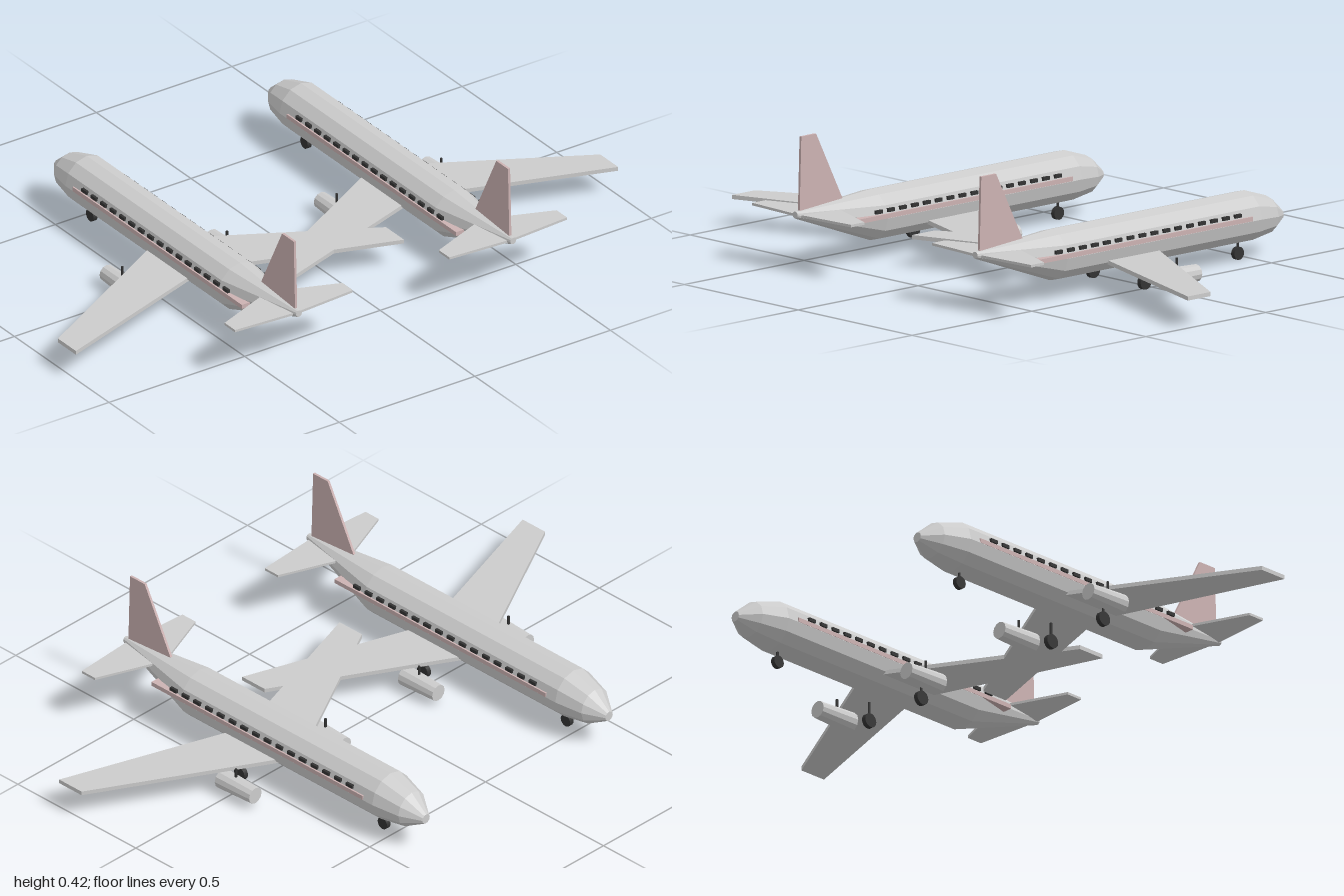
import * as THREE from 'three';

export function createModel() {
  const paint = (name, color) => {
    const m = new THREE.MeshStandardMaterial({ color });
    m.name = name;
    return m;
  };
  const grey = paint('light grey', 0xcccccc);
  const pink = paint('dusty pink', 0xccb2b2);
  const black = paint('black', 0x333333);

  const add = (parent, name, geometry, material, x = 0, y = 0, z = 0) => {
    const mesh = new THREE.Mesh(geometry, material);
    mesh.name = name;
    mesh.position.set(x, y, z);
    parent.add(mesh);
    return mesh;
  };
  const facet = (geometry) => {
    const g = geometry.toNonIndexed();
    g.computeVertexNormals();
    return g;
  };
  const plate = (points, depth) => new THREE.ExtrudeGeometry(
    new THREE.Shape(points.map(([a, b]) => new THREE.Vector2(a, b))), { depth, bevelEnabled: false });
  // Flat surface mirrored about the centreline; half outline runs from nose side to tail side
  const span = (half, depth) => {
    const mirrored = half.filter(([x]) => x > 0).reverse().map(([x, z]) => [-x, z]);
    return plate([...half, ...mirrored], depth).rotateX(Math.PI / 2);
  };

  // Fuselage stations: z, radius, centre height
  const stations = [
    [-0.636, 0, 0.115], [-0.636, 0.016, 0.115], [-0.575, 0.058, 0.124], [-0.485, 0.079, 0.132],
    [0.325, 0.079, 0.132], [0.637, 0.011, 0.177], [0.637, 0, 0.177],
  ];
  const centreAt = (z) => {
    for (let i = 1; i < stations.length; i++) {
      const [z0, , y0] = stations[i - 1], [z1, , y1] = stations[i];
      if (z <= z1 + 1e-5 && z1 > z0) return y0 + (y1 - y0) * (z - z0) / (z1 - z0);
    }
    return 0.177;
  };
  const body = new THREE.LatheGeometry(stations.map(([z, r]) => new THREE.Vector2(r, z)), 12);
  body.rotateX(Math.PI / 2);
  const pos = body.attributes.position;
  for (let i = 0; i < pos.count; i++) pos.setY(i, pos.getY(i) + centreAt(pos.getZ(i)));
  const bodyGeometry = facet(body);

  const wing = span([[0, -0.104], [0.605, 0.23], [0.605, 0.325], [0, 0.123]], 0.013);
  const tailplane = span([[0, 0.47], [0.217, 0.555], [0.217, 0.61], [0, 0.625]], 0.008);
  const fin = plate([[0.44, 0.195], [0.622, 0.18], [0.615, 0.417], [0.553, 0.417]], 0.008)
    .rotateY(-Math.PI / 2).translate(0.004, 0, 0);
  const engine = facet(new THREE.CylinderGeometry(0.033, 0.027, 0.14, 12)).rotateX(Math.PI / 2);
  const wheel = (r) => new THREE.CylinderGeometry(r, r, 0.015, 16).rotateZ(Math.PI / 2);
  const strut = (h) => new THREE.CylinderGeometry(0.004, 0.004, h, 8);

  const plane = () => {
    const g = new THREE.Group();
    g.name = 'airliner';
    add(g, 'fuselage', bodyGeometry, grey);
    add(g, 'wings', wing, grey, 0, 0.098, 0);
    add(g, 'tailplane', tailplane, grey, 0, 0.177, 0);
    add(g, 'tailFin', fin, pink);
    add(g, 'sideStripe', new THREE.BoxGeometry(0.16, 0.014, 0.895), pink, 0, 0.14, 0.002);

    // Nose gear
    add(g, 'noseWheel', wheel(0.02), black, 0, 0.02, -0.458);
    add(g, 'noseStrut', strut(0.05), black, 0, 0.045, -0.458);

    for (const s of [-1, 1]) {
      // Cabin windows
      for (let i = 0; i < 16; i++) {
        add(g, 'window', new THREE.BoxGeometry(0.009, 0.011, 0.027), black,
          s * 0.075, 0.157, 0.359 - i * 0.0497);
      }
      // Engine on its pylon
      add(g, 'engine', engine, grey, s * 0.193, 0.043, -0.032);
      add(g, 'pylon', strut(0.05), black, s * 0.193, 0.077, -0.02);
      // Main gear
      add(g, 'mainWheel', wheel(0.023), black, s * 0.113, 0.023, 0.038);
      add(g, 'mainStrut', strut(0.07), black, s * 0.113, 0.055, 0.038);
    }
    return g;
  };

  const model = new THREE.Group();
  model.name = 'airlinerPair';
  for (const s of [-1, 1]) {
    const p = plane();
    p.position.x = s * 0.395;
    model.add(p);
  }
  return model;
}
